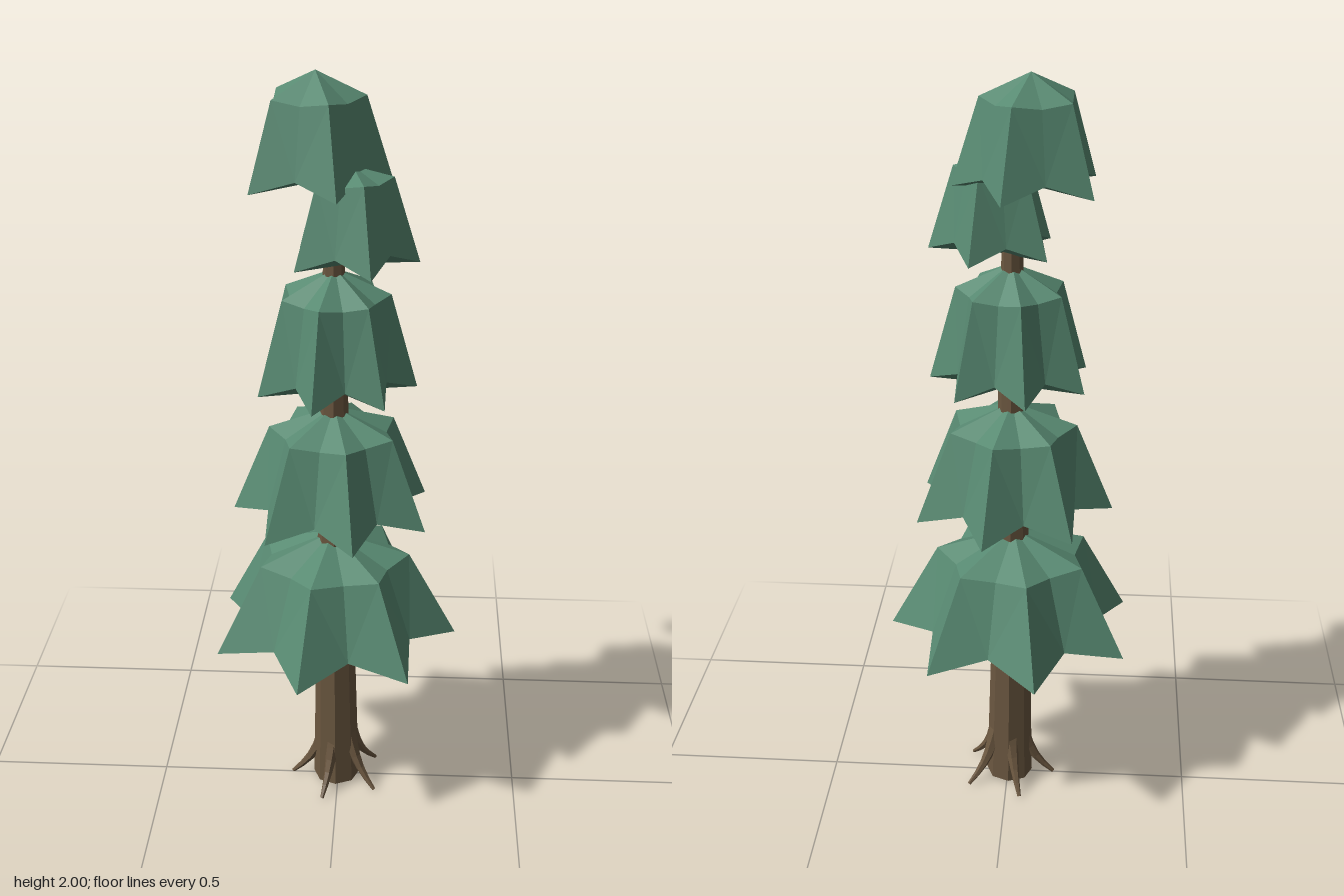
import * as THREE from 'three';

const needles = new THREE.MeshStandardMaterial({ color: 0x588a72 });
needles.name = 'needle green';
needles.flatShading = true;
const bark = new THREE.MeshStandardMaterial({ color: 0x6b5740 });
bark.name = 'bark brown';
bark.flatShading = true;

// Branch tier: apex, star-shaped shoulder, star-shaped hem, then underside centre
function tierGeometry({ n, turn, r, shoulder, apexY, shoulderY, tipY, baseY }) {
  const count = n * 2;
  const rings = [
    { tip: [0, apexY], valley: [0, apexY] },
    { tip: [shoulder, shoulderY], valley: [shoulder * 0.8, shoulderY - 0.01] },
    { tip: [r, tipY], valley: [r * 0.7, tipY + 0.035] },
    { tip: [0, baseY], valley: [0, baseY] },
  ];
  const point = (ring, i) => {
    const [radius, y] = i % 2 ? ring.valley : ring.tip;
    const a = turn + (i / count) * Math.PI * 2;
    return [radius * Math.cos(a), y, radius * Math.sin(a)];
  };
  const pos = [];
  for (let k = 0; k < 3; k++) {
    for (let i = 0; i < count; i++) {
      const a = point(rings[k], i), b = point(rings[k], i + 1);
      const c = point(rings[k + 1], i), d = point(rings[k + 1], i + 1);
      if (k === 0) pos.push(...a, ...d, ...c);
      else if (k === 2) pos.push(...a, ...b, ...c);
      // keep the crease running along the ridge of each bough
      else if (i % 2) pos.push(...a, ...b, ...c, ...b, ...d, ...c);
      else pos.push(...a, ...b, ...d, ...a, ...d, ...c);
    }
  }
  const g = new THREE.BufferGeometry();
  g.setAttribute('position', new THREE.Float32BufferAttribute(pos, 3));
  g.computeVertexNormals();
  return g;
}

// Tube whose radius follows radiusAt(t) along the path
function taperedTube(points, steps, sides, radiusAt) {
  const curve = new THREE.CatmullRomCurve3(points.map((p) => new THREE.Vector3(...p)));
  const g = new THREE.TubeGeometry(curve, steps, 1, sides);
  const pos = g.attributes.position, v = new THREE.Vector3();
  for (let i = 0; i < pos.count; i++) {
    const t = Math.floor(i / (sides + 1)) / steps;
    const c = curve.getPointAt(t);
    v.fromBufferAttribute(pos, i).sub(c).multiplyScalar(radiusAt(t)).add(c);
    pos.setXYZ(i, v.x, v.y, v.z);
  }
  g.computeVertexNormals();
  return g;
}

export function createModel() {
  const tree = new THREE.Group();
  tree.name = 'pineTree';
  const add = (name, geometry, material, parent = tree) => {
    const mesh = new THREE.Mesh(geometry, material);
    mesh.name = name;
    parent.add(mesh);
    return mesh;
  };

  // Trunk
  add('trunk', taperedTube(
    [[-0.005, 0.01, 0], [-0.008, 0.5, 0.002], [-0.01, 1, 0.004], [-0.01, 1.5, 0.008], [-0.01, 1.75, 0.005]],
    10, 8, (t) => 0.064 - 0.042 * t), bark);
  const foot = add('trunkFoot', new THREE.CircleGeometry(0.064, 8), bark);
  foot.rotation.x = Math.PI / 2;
  foot.position.set(-0.005, 0.01, 0);

  // Roots flaring out of the trunk
  const roots = new THREE.Group();
  roots.name = 'roots';
  tree.add(roots);
  const root = taperedTube(
    [[0.035, 0.16, 0], [0.062, 0.09, 0], [0.09, 0.045, 0], [0.13, 0.005, 0]],
    5, 6, (t) => 0.022 - 0.017 * t);
  for (let i = 0; i < 5; i++) {
    add('root', root, bark, roots).rotation.y = Math.PI + (i / 5) * Math.PI * 2;
  }

  // Branch tiers, from the lowest to the crown
  const tiers = [
    { x: -0.015, z: 0, n: 7, turn: 0, r: 0.334, shoulder: 0.205, apexY: 0.795, shoulderY: 0.73, tipY: 0.492, baseY: 0.475 },
    { x: -0.01, z: 0.005, n: 7, turn: Math.PI, r: 0.265, shoulder: 0.168, apexY: 1.16, shoulderY: 1.1, tipY: 0.863, baseY: 0.843 },
    { x: -0.008, z: 0.01, n: 7, turn: 0, r: 0.208, shoulder: 0.14, apexY: 1.53, shoulderY: 1.465, tipY: 1.222, baseY: 1.205 },
    { x: 0.035, z: 0.033, n: 5, turn: 0, r: 0.165, shoulder: 0.1, apexY: 1.79, shoulderY: 1.765, tipY: 1.557, baseY: 1.55 },
    { x: -0.055, z: -0.025, n: 5, turn: 0, r: 0.19, shoulder: 0.122, apexY: 2, shoulderY: 1.943, tipY: 1.73, baseY: 1.735 },
  ];
  for (const t of tiers) {
    add('branchTier', tierGeometry(t), needles).position.set(t.x, 0, t.z);
  }
  return tree;
}
